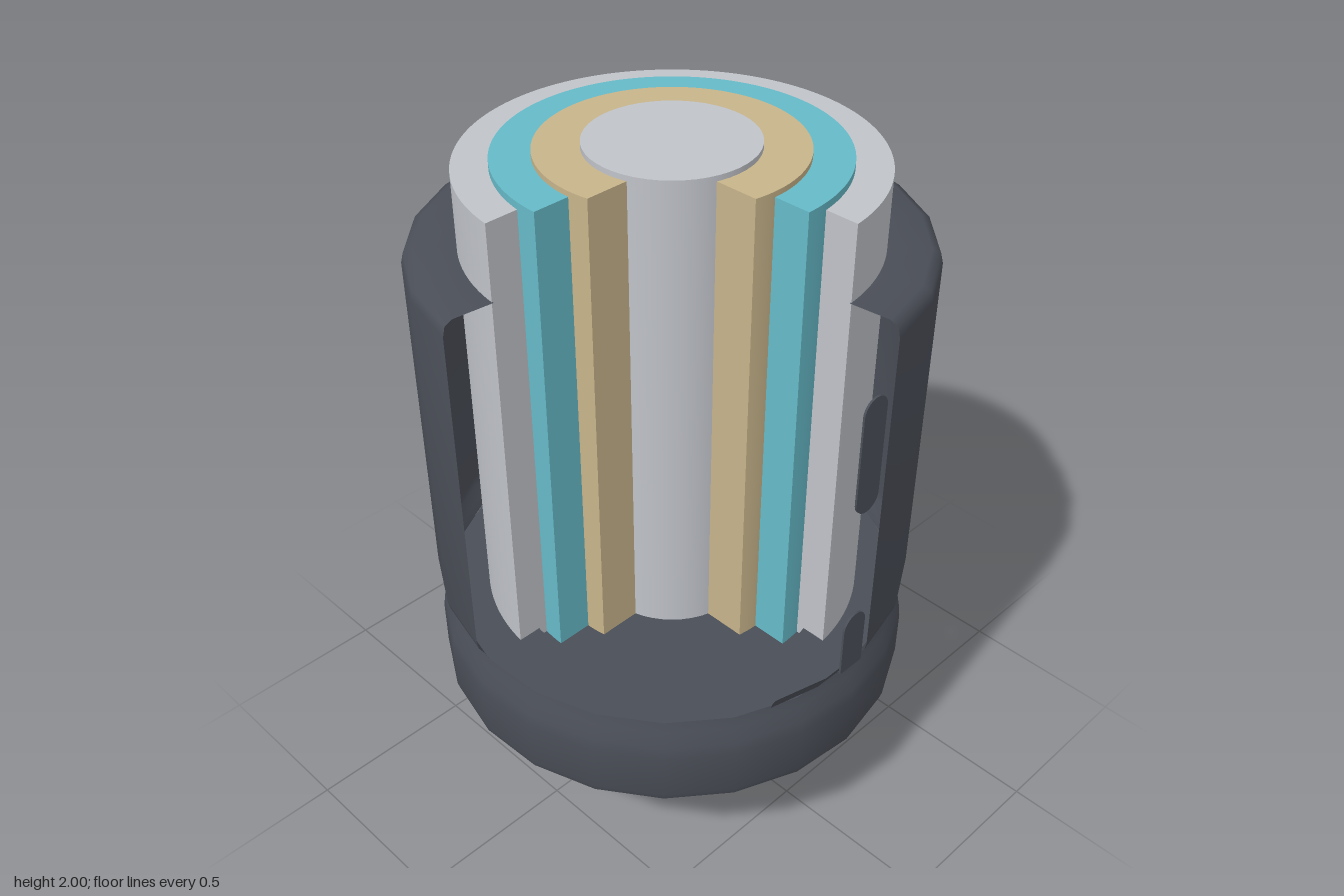
import * as THREE from 'three';
import { toCreasedNormals } from 'three/addons/utils/BufferGeometryUtils.js';

const DEG = Math.PI / 180;

function mat(name, color, side = THREE.FrontSide) {
  const m = new THREE.MeshStandardMaterial({ color, side });
  m.name = name;
  return m;
}

// Revolved profile between two angles measured from +z towards +x
function revolve(points, sides, start, length) {
  const pts = points.map(([r, y]) => new THREE.Vector2(r, y));
  return toCreasedNormals(new THREE.LatheGeometry(pts, sides, start * DEG, length * DEG), 0.9);
}

// Ring with the corner x > c, z > c cut away
function notchedRing(inner, outer, c, bottom, top) {
  const ends = (r) => {
    const a = Math.sqrt(r * r - c * c);
    return [Math.atan2(-a, c), Math.atan2(-c, a)];
  };
  const [o0, o1] = ends(outer);
  const [i0, i1] = ends(inner);
  const shape = new THREE.Shape();
  shape.absarc(0, 0, outer, o0, o1, true);
  shape.absarc(0, 0, inner, i1, i0, false);
  shape.closePath();
  const geo = new THREE.ExtrudeGeometry(shape, { depth: top - bottom, bevelEnabled: false, curveSegments: 60 });
  geo.rotateX(-Math.PI / 2).translate(0, bottom, 0);
  return toCreasedNormals(geo, 0.5);
}

// Thin upright plate facing +x, round on top and optionally round below
function markPlate(bottom, top, roundBottom) {
  const w = 0.043;
  const s = new THREE.Shape();
  s.absarc(0, top - w, w, 0, Math.PI, false);
  if (roundBottom) s.absarc(0, bottom + w, w, Math.PI, 2 * Math.PI, false);
  else s.lineTo(-w, bottom).lineTo(w, bottom);
  s.closePath();
  const geo = new THREE.ExtrudeGeometry(s, { depth: 0.006, bevelEnabled: false, curveSegments: 12 });
  return geo.rotateY(Math.PI / 2).translate(0.685, 0, 0);
}

export function createModel() {
  const group = new THREE.Group();
  const dark = mat('dark sleeve', 0x4a4e57, THREE.DoubleSide);
  const silver = mat('silver metal', 0xc0c3c9);
  const teal = mat('teal layer', 0x66bac8);
  const tan = mat('tan layer', 0xc8b48a);

  const add = (name, geo, material) => {
    const mesh = new THREE.Mesh(geo, material);
    mesh.name = name;
    group.add(mesh);
    return mesh;
  };

  // Base cup with recessed underside and stepped floor
  add('base', revolve([
    [0, 0.38], [0.48, 0.38], [0.48, 0.35], [0.66, 0.35], [0.683, 0.357], [0.69, 0.38],
    [0.69, 0.52], [0.685, 0.56], [0.667, 0.60], [0.657, 0.63],
    [0.48, 0.63], [0.48, 0.6], [0, 0.6],
  ], 22, -5.8, 360), dark);

  // Thin sleeve, open over the cut corner
  const neck = [[0.657, 0.63], [0.667, 0.655], [0.685, 0.685]];
  add('sleeve', revolve([
    ...neck, [0.69, 0.71], [0.69, 1.70], [0.683, 1.728], [0.66, 1.74], [0.545, 1.74],
  ], 16, 95.8, 258.4), dark);

  // Leftover strip of the neck beside the cut
  add('neckLip', revolve(neck, 2, 69, 26.8), dark);

  // Marks on the sleeve
  add('upperMark', markPlate(1.22, 1.57, true), dark);
  add('lowerMark', markPlate(0.675, 0.87, false), dark);

  // Wound layers, each one taller and less cut back than the one outside it
  add('outerLayer', notchedRing(0.452, 0.547, -0.06, 0.59, 1.95), silver);
  add('middleLayer', notchedRing(0.347, 0.452, 0.006, 0.59, 1.97), teal);
  add('innerLayer', notchedRing(0.225, 0.347, 0.066, 0.59, 1.985), tan);
  add('core', new THREE.CylinderGeometry(0.226, 0.226, 1.41, 48).translate(0, 1.295, 0), silver);

  // Pins
  for (const [name, x, bottom] of [['leftPin', 0.3, 0.02], ['rightPin', -0.305, 0]]) {
    const h = 0.4 - bottom;
    add(name, new THREE.CylinderGeometry(0.042, 0.042, h, 20).translate(x, bottom + h / 2, 0), silver);
  }

  return group;
}
